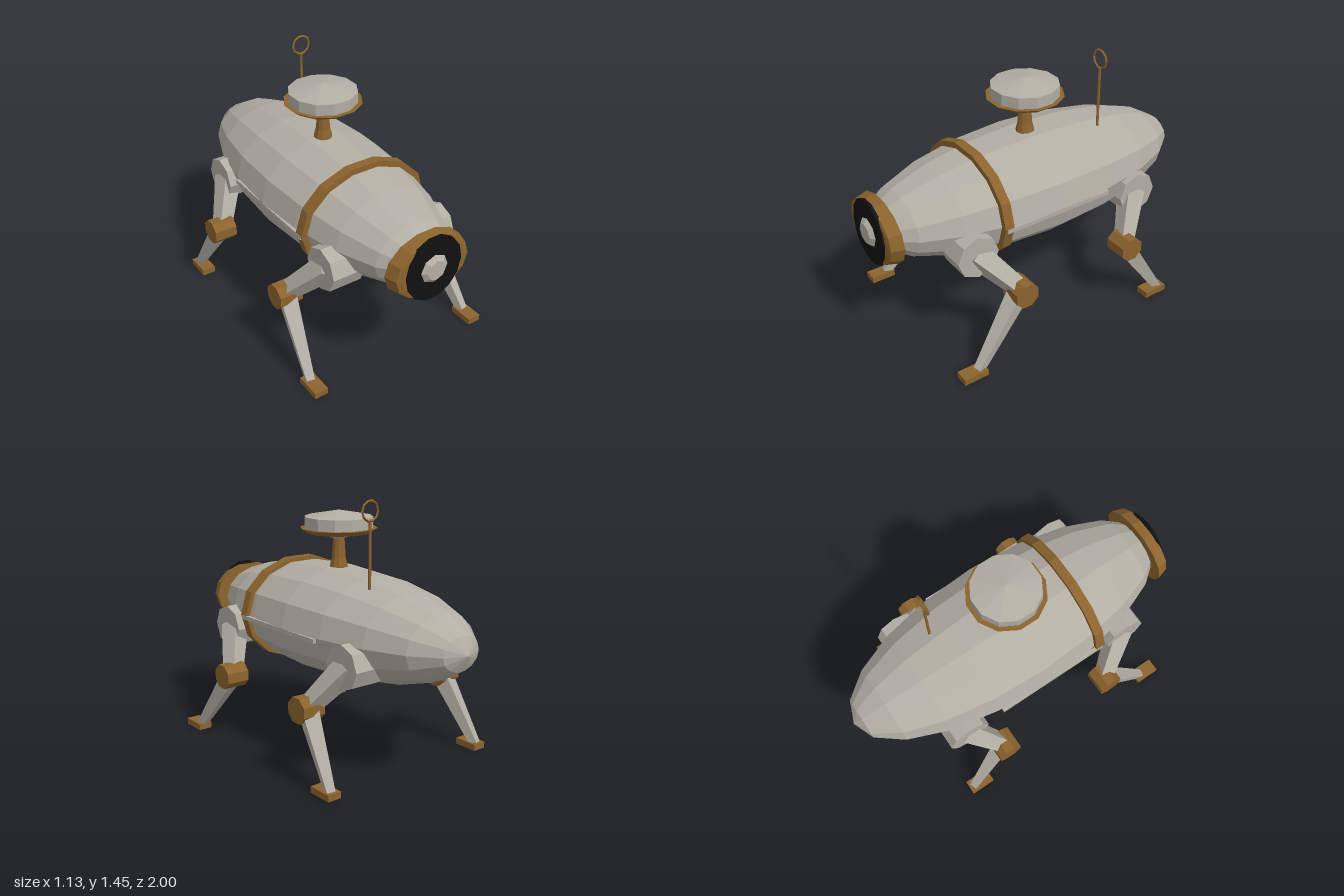
import * as THREE from 'three';

const shell = new THREE.MeshStandardMaterial({ color: 0xb2aea4 });
shell.name = 'warm grey shell';
const bronze = new THREE.MeshStandardMaterial({ color: 0x8b632d });
bronze.name = 'bronze trim';
const black = new THREE.MeshStandardMaterial({ color: 0x101010 });
black.name = 'black glass';

const CY = 0.7375; // height of the hull axis

// Faceted mesh with a name
function part(parent, name, geometry, material, x = 0, y = 0, z = 0) {
  const flat = geometry.index ? geometry.toNonIndexed() : geometry;
  flat.computeVertexNormals();
  const mesh = new THREE.Mesh(flat, material);
  mesh.name = name;
  mesh.position.set(x, y, z);
  parent.add(mesh);
  return mesh;
}

// Elliptical frustum along z: back radius, front radius, length
function hoop(rBack, rFront, ratio, length, sides = 14) {
  return new THREE.CylinderGeometry(rFront, rBack, length, sides)
    .rotateY(Math.PI / 2).rotateX(Math.PI / 2).scale(1, ratio, 1);
}

// Twelve-sided upright frustum with flat sides facing front and back
function drum(rTop, rBottom, height) {
  return new THREE.CylinderGeometry(rTop, rBottom, height, 12).rotateY(Math.PI / 12);
}

// Square tapered strut between two points
function strut(parent, name, a, b, wa, wb) {
  const from = new THREE.Vector3(...a), to = new THREE.Vector3(...b);
  const g = new THREE.CylinderGeometry(wb * Math.SQRT1_2, wa * Math.SQRT1_2, from.distanceTo(to), 4)
    .rotateY(Math.PI / 4);
  const mid = from.clone().add(to).multiplyScalar(0.5);
  const mesh = part(parent, name, g, shell, mid.x, mid.y, mid.z);
  mesh.quaternion.setFromUnitVectors(new THREE.Vector3(0, 1, 0), to.sub(from).normalize());
}

function addLeg(root, name, s, hipZ, kneeZ, ankleZ) {
  const leg = new THREE.Group();
  leg.name = name;
  root.add(leg);
  part(leg, 'hip', new THREE.CylinderGeometry(0.122, 0.122, 0.19, 8).rotateZ(Math.PI / 2),
    shell, s * 0.295, 0.632, hipZ);
  strut(leg, 'upperLeg', [s * 0.34, 0.63, hipZ], [s * 0.48, 0.405, kneeZ], 0.11, 0.08);
  part(leg, 'knee', new THREE.CylinderGeometry(0.073, 0.073, 0.135, 8)
    .rotateY(Math.PI / 8).rotateZ(Math.PI / 2), bronze, s * 0.488, 0.4, kneeZ);
  strut(leg, 'lowerLeg', [s * 0.482, 0.4, kneeZ], [s * 0.525, 0.025, ankleZ], 0.092, 0.045);
  part(leg, 'foot', new THREE.BoxGeometry(0.08, 0.036, 0.145), bronze, s * 0.525, 0.018, ankleZ + 0.037);
}

export function createModel() {
  const root = new THREE.Group();
  root.name = 'walkingPod';

  // Hull with its trim band
  part(root, 'hull', new THREE.SphereGeometry(1, 14, 10).rotateX(Math.PI / 2).scale(0.4, 0.3, 1),
    shell, 0, CY, 0);
  part(root, 'hullBand', hoop(0.398, 0.398, 0.765, 0.055), bronze, 0, CY, 0.37);

  // Nose window
  part(root, 'noseRing', hoop(0.246, 0.225, 0.74, 0.068), bronze, 0, CY, 0.932);
  part(root, 'noseRingFace', hoop(0.225, 0.2, 0.74, 0.006), bronze, 0, CY, 0.969);
  part(root, 'noseGlass', hoop(0.172, 0.172, 1.08, 0.018), black, 0, CY, 0.97);
  part(root, 'noseCap', hoop(0.084, 0.056, 1, 0.022, 8), shell, 0, CY, 0.989);

  // Side rails
  for (const s of [1, -1]) {
    part(root, s > 0 ? 'leftRail' : 'rightRail', new THREE.BoxGeometry(0.022, 0.024, 0.67),
      shell, s * 0.389, 0.724, 0.05);
  }

  // Belly port
  part(root, 'bellyPort', new THREE.CylinderGeometry(0.08, 0.08, 0.02, 8), black, 0, 0.449, 0.04);

  // Turret on a flared post
  const post = [[0.055, 1.0], [0.052, 1.03], [0.04, 1.08], [0.032, 1.2]]
    .map(([r, y]) => new THREE.Vector2(r, y));
  part(root, 'turretPost', new THREE.LatheGeometry(post, 10), bronze);
  part(root, 'turretUnderside', drum(0.13, 0.03, 0.036), shell, 0, 1.206, 0);
  part(root, 'turretRim', drum(0.216, 0.18, 0.026), bronze, 0, 1.234, 0);
  part(root, 'turretDrum', drum(0.19, 0.19, 0.063), shell, 0, 1.278, 0);
  part(root, 'turretRoof', new THREE.ConeGeometry(0.19, 0.036, 12).rotateY(Math.PI / 12),
    shell, 0, 1.327, 0);

  // Loop antenna
  part(root, 'antennaMast', new THREE.CylinderGeometry(0.008, 0.008, 0.38, 6), bronze, 0.125, 1.145, -0.41);
  part(root, 'antennaLoop', new THREE.TorusGeometry(0.053, 0.007, 4, 10), bronze, 0.125, 1.388, -0.41);

  // Four legs
  for (const s of [1, -1]) {
    const side = s > 0 ? 'Left' : 'Right';
    addLeg(root, 'front' + side + 'Leg', s, 0.56, 0.37, 0.665);
    addLeg(root, 'rear' + side + 'Leg', s, -0.503, -0.345, -0.587);
  }
  return root;
}
